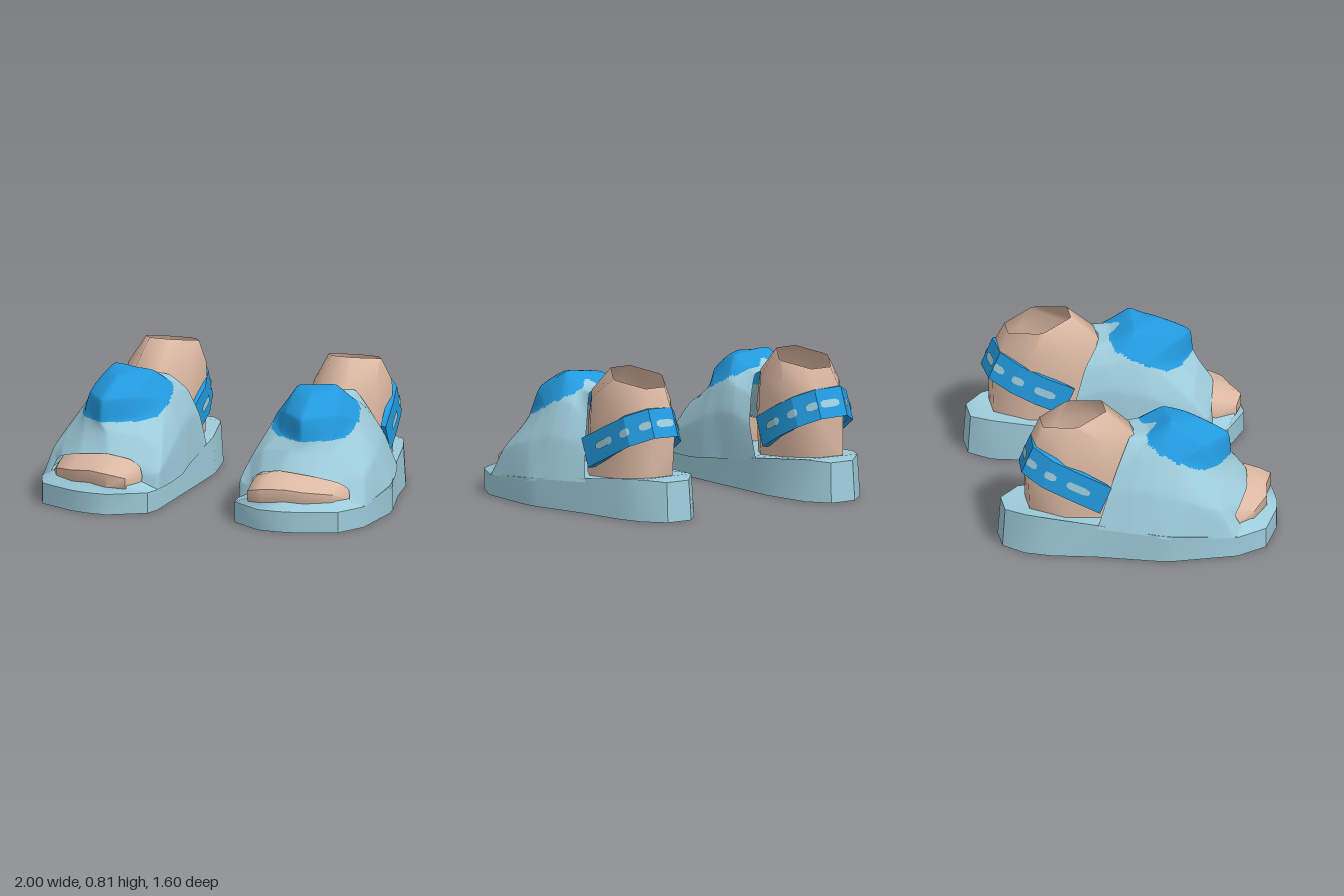
import * as THREE from 'three';
import { mergeVertices, toCreasedNormals } from 'three/addons/utils/BufferGeometryUtils.js';

const mat = (name, color) => new THREE.MeshStandardMaterial({ name, color, side: THREE.DoubleSide });
const V = (x, y, z) => new THREE.Vector3(x, y, z);

// Skin a grid of points; 'keep' may select faces by their centre
function loft(rows, closed = false, keep = () => true) {
  const n = rows[0].length, pos = rows.flat().flatMap(p => [p.x, p.y, p.z]), index = [];
  for (let i = 0; i < rows.length - 1; i++) {
    for (let j = 0; j < (closed ? n : n - 1); j++) {
      const k = (j + 1) % n, mid = rows[i][j].clone().add(rows[i + 1][k]).multiplyScalar(0.5);
      if (!keep(mid)) continue;
      const a = i * n + j, b = i * n + k, c = b + n, d = a + n;
      index.push(a, b, c, a, c, d);
    }
  }
  const geo = new THREE.BufferGeometry();
  geo.setAttribute('position', new THREE.Float32BufferAttribute(pos, 3));
  geo.setIndex(index);
  geo.computeVertexNormals();
  return geo;
}

// Close both ends of a loft with a collapsed row
function capped(rows) {
  const end = row => {
    const c = row.reduce((s, p) => s.add(p), V(0, 0, 0)).divideScalar(row.length);
    return row.map(() => c);
  };
  return [end(rows[0]), ...rows, end(rows[rows.length - 1])];
}

const crease = (geo, angle) => mergeVertices(toCreasedNormals(geo, angle));

function mirrored(geo) {
  const g = geo.clone().scale(-1, 1, 1), ix = g.index.array;
  for (let i = 0; i < ix.length; i += 3) [ix[i], ix[i + 1]] = [ix[i + 1], ix[i]];
  return g;
}

// Sole: outline in x, z; its top rises toward the heel and draws in slightly there
function soleGeometry() {
  const outline = [[0.48, -0.8], [0.64, -0.8], [0.75, -0.69], [0.81, -0.55], [0.87, -0.3], [0.98, 0.03], [1, 0.12],
    [1, 0.5], [0.92, 0.68], [0.7, 0.78], [0.6, 0.8], [0.47, 0.8], [0.27, 0.67], [0.25, 0.57], [0.3, -0.25],
    [0.31, -0.4], [0.38, -0.68]];
  const shape = new THREE.Shape(outline.map(([x, z]) => new THREE.Vector2(x, -z)));
  const geo = new THREE.ExtrudeGeometry(shape, { depth: 1, bevelEnabled: false }).rotateX(-Math.PI / 2);
  const p = geo.attributes.position;
  const steps = [[0.8, 0.12], [0.5, 0.12], [-0.29, 0.2], [-0.64, 0.245], [-0.81, 0.23]];
  for (let i = 0; i < p.count; i++) {
    if (p.getY(i) < 0.5) continue;
    const x = p.getX(i), z = p.getZ(i), k = Math.max(1, steps.findIndex(s => s[0] <= z));
    const [z0, y0] = steps[k - 1], [z1, y1] = steps[k], inset = Math.max(0, -z) * 0.08;
    p.setXYZ(i, x + (0.58 - x) * inset, y0 + (y1 - y0) * (z - z0) / (z1 - z0), z + inset * 0.25);
  }
  geo.deleteAttribute('uv');
  return crease(geo, 0.6);
}

// Sloping rim that rises from the front edge of the sole to the toes
function toeRimGeometry() {
  const outer = [[0.25, 0.57], [0.27, 0.67], [0.47, 0.8], [0.6, 0.8], [0.7, 0.78], [0.92, 0.68], [1, 0.5]];
  const inner = [[0.34, 0.58], [0.38, 0.73], [0.48, 0.78], [0.6, 0.74], [0.72, 0.71], [0.87, 0.6], [0.92, 0.5]];
  return loft([outer.map(([x, z]) => V(x, 0.12, z)), inner.map(([x, z]) => V(x, 0.165, z))]);
}

// Upper: arches from the inner side over the top to the outer side, front to back
const FOREPART = [
  [[0.34, 0.12, 0.6], [0.34, 0.2, 0.59], [0.355, 0.25, 0.59], [0.41, 0.29, 0.605], [0.54, 0.315, 0.63], [0.72, 0.295, 0.605], [0.86, 0.255, 0.54], [0.91, 0.21, 0.505], [0.94, 0.11, 0.56]],
  [[0.25, 0.12, 0.56], [0.25, 0.22, 0.54], [0.28, 0.32, 0.47], [0.38, 0.4, 0.5], [0.57, 0.42, 0.56], [0.74, 0.4, 0.5], [0.88, 0.35, 0.42], [0.96, 0.27, 0.42], [1, 0.12, 0.48]],
  [[0.25, 0.12, 0.36], [0.265, 0.33, 0.3], [0.34, 0.51, 0.28], [0.45, 0.485, 0.42], [0.62, 0.475, 0.53], [0.77, 0.495, 0.41], [0.83, 0.5, 0.27], [0.955, 0.33, 0.28], [1, 0.13, 0.3]],
  [[0.255, 0.13, 0.2], [0.275, 0.38, 0.2], [0.345, 0.555, 0.22], [0.46, 0.6, 0.38], [0.62, 0.6, 0.51], [0.76, 0.6, 0.36], [0.825, 0.55, 0.2], [0.94, 0.36, 0.18], [1, 0.14, 0.12]],
];
const INSTEP = [
  [[0.265, 0.145, 0.12], [0.285, 0.4, 0.12], [0.345, 0.575, 0.14], [0.46, 0.68, 0.27], [0.6, 0.705, 0.33], [0.74, 0.67, 0.25], [0.82, 0.57, 0.13], [0.92, 0.38, 0.1], [0.99, 0.15, 0.06]],
  [[0.28, 0.15, 0.04], [0.29, 0.42, 0.04], [0.35, 0.59, 0.07], [0.45, 0.71, 0.16], [0.56, 0.725, 0.17], [0.69, 0.735, 0.17], [0.8, 0.59, 0.07], [0.9, 0.4, 0.02], [0.97, 0.16, 0]],
  [[0.29, 0.17, -0.08], [0.3, 0.42, -0.06], [0.35, 0.57, -0.01], [0.46, 0.66, 0.04], [0.58, 0.665, 0.05], [0.68, 0.66, 0.04], [0.78, 0.58, -0.02], [0.87, 0.4, -0.08], [0.94, 0.17, -0.1]],
  [[0.31, 0.18, -0.28], [0.32, 0.38, -0.2], [0.37, 0.54, -0.14], [0.45, 0.64, -0.06], [0.58, 0.655, -0.03], [0.7, 0.65, -0.08], [0.77, 0.5, -0.16], [0.82, 0.38, -0.215], [0.87, 0.18, -0.29]],
];
function upperRows() {
  const smooth = (pts, n) => new THREE.CatmullRomCurve3(pts, false, 'catmullrom', 0.25).getPoints(n);
  const arches = [...FOREPART, ...INSTEP].map(a => smooth(a.map(p => V(...p)), 96));
  const columns = arches[0].map((_, j) => smooth(arches.map(a => a[j]), 98));
  return columns[0].map((_, i) => columns.map(c => c[i]));
}

// Heart outline seen from above, in x, z
const HEART = [[0.59, 0.1], [0.54, 0.03], [0.47, 0.02], [0.39, 0.04], [0.35, 0.11], [0.335, 0.22], [0.35, 0.32],
  [0.44, 0.435], [0.53, 0.49], [0.62, 0.545], [0.7, 0.485], [0.79, 0.41], [0.83, 0.29], [0.835, 0.18], [0.8, 0.08],
  [0.74, 0.03], [0.67, 0.03], [0.62, 0.09]];
function inHeart({ x, y, z }) {
  let inside = false;
  HEART.forEach(([x1, z1], i) => {
    const [x2, z2] = HEART[(i + 1) % HEART.length];
    if (z1 > z !== z2 > z && x < x1 + (x2 - x1) * (z - z1) / (z2 - z1)) inside = !inside;
  });
  return inside && y > 0.472;
}

// Toes: sections across the foot as x, front z, top y
function toesGeometry() {
  const rows = [[0.345, 0.62, 0.23], [0.38, 0.74, 0.27], [0.48, 0.785, 0.305], [0.6, 0.74, 0.305],
    [0.72, 0.72, 0.29], [0.86, 0.62, 0.262], [0.91, 0.53, 0.22]].map(([x, f, y]) => [
    V(x, y, f - 0.25), V(x, y, f - 0.14), V(x, y * 0.89, f - 0.06), V(x, y * 0.77, f),
    V(x, 0.16, f), V(x, 0.12, f - 0.03), V(x, 0.12, f - 0.25)]);
  return crease(loft(capped(rows), true), 0.8);
}

// Ankle: open tube of eight-sided rings, given as front z, y, back z, y, x range;
// 'pinch' draws the side corners together
function ankleGeometry() {
  const k = 1 / Math.cos(Math.PI / 8);
  const rings = [[0, 0.18, -0.645, 0.2, 0.4, 0.77, 1], [0, 0.45, -0.655, 0.47, 0.385, 0.77, 1],
    [-0.04, 0.66, -0.61, 0.63, 0.385, 0.77, 1], [-0.2, 0.81, -0.56, 0.74, 0.41, 0.725, 0.2]];
  return loft(rings.map(([zf, yf, zb, yb, x0, x1, pinch]) => Array.from({ length: 8 }, (_, i) => {
    const a = (i + 0.5) * Math.PI / 4, s = Math.sin(a) * k, c = Math.cos(a) * k;
    const t = (1 + (Math.abs(c) < 0.9 ? c * pinch : c)) / 2;
    return V((x0 + x1) / 2 + s * (x1 - x0) / 2, yb + (yf - yb) * t, zb + (zf - zb) * t);
  })), true);
}

// Strap path round the heel, rising toward the back
const strapPath = new THREE.CatmullRomCurve3([[0.36, -0.235], [0.36, -0.4], [0.4, -0.54], [0.49, -0.645],
  [0.66, -0.66], [0.765, -0.56], [0.8, -0.42], [0.835, -0.235]]
  .map(([x, z]) => V(x, 0.34 - 0.506 * (z + 0.235), z)), false, 'catmullrom', 0);

// Point on the strap: t along it, h across its width (-1 to 1), out from its face
function strapPoint(t, h, out) {
  const p = strapPath.getPoint(t), n = V(p.x - 0.58, 0, p.z + 0.33).normalize();
  return p.addScaledVector(n, out).add(V(0, 0.08 * h, 0.034 * h));
}

function strapGeometry() {
  const rows = Array.from({ length: 8 }, (_, i) => [[-1, 0], [1, 0], [1, -0.04], [-1, -0.04]]
    .map(([h, out]) => strapPoint(i / 7, h, out)));
  return crease(loft(capped(rows), true), 0.35);
}

function dashGeometry(from, to) {
  const rows = [];
  for (let s = from; s <= to; s++) {
    const h = s === from || s === to ? 0.14 : 0.25;
    rows.push([strapPoint(s / 70, -h, 0.006), strapPoint(s / 70, h, 0.006)]);
  }
  return loft(rows);
}

export function createModel() {
  const pale = mat('paleBlue', 0x9dcbda), blue = mat('brightBlue', 0x2299dd), skin = mat('skin', 0xdcb9a3);
  const rows = upperRows();
  const upper = loft(rows, false, p => !inHeart(p)), heart = loft(rows, false, inHeart);
  // Shared normals keep the heart flush with the upper
  const normals = loft(rows).attributes.normal;
  upper.setAttribute('normal', normals);
  heart.setAttribute('normal', normals.clone());

  const parts = [
    ['sole', soleGeometry(), pale], ['toeRim', toeRimGeometry(), pale], ['upper', upper, pale],
    ['heartPatch', heart, blue], ['toes', toesGeometry(), skin], ['ankle', ankleGeometry(), skin],
    ['heelStrap', strapGeometry(), blue],
    ...[[5, 13], [16, 22], [25, 29], [32, 37], [41, 45], [48, 54], [57, 65]]
      .map(([a, b]) => ['strapDash', dashGeometry(a, b), pale]),
  ];

  const model = new THREE.Group();
  model.name = 'sandalPair';
  for (const side of ['left', 'right']) {
    const shoe = new THREE.Group();
    shoe.name = side + 'Sandal';
    for (const [name, geo, material] of parts) {
      const mesh = new THREE.Mesh(side === 'left' ? geo : mirrored(geo), material);
      mesh.name = name;
      shoe.add(mesh);
    }
    model.add(shoe);
  }
  return model;
}
